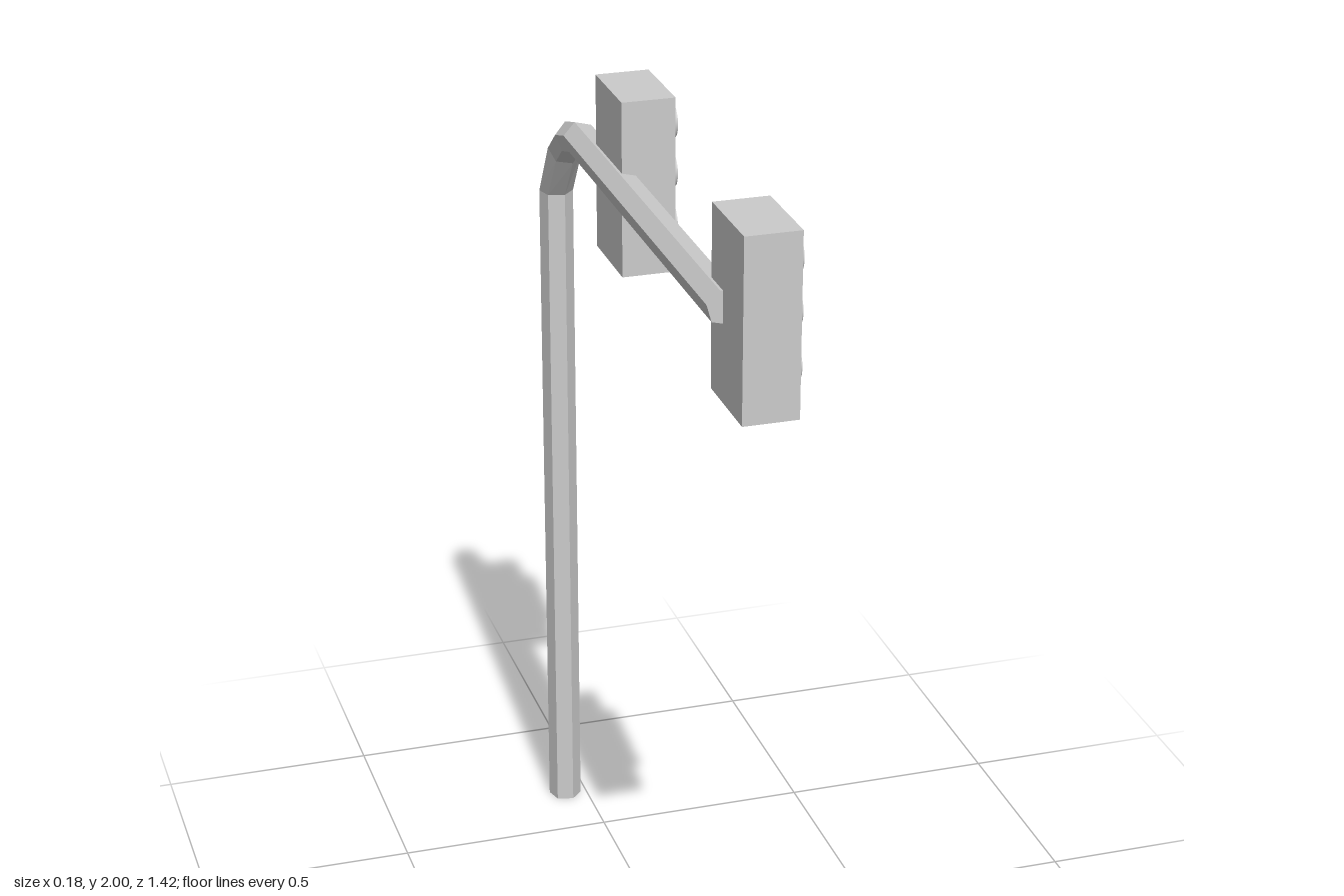
import * as THREE from 'three';

const SIDES = 6;
const POLE_X = -0.052;
const RADIUS = 0.039;

// Six-sided bent pole: rings given as [z, y, tilt in degrees], lofted in order
function poleGeometry() {
  const rings = [
    [-0.673, 0, 0], [-0.673, 1.61, 0], [-0.592, 1.735, 40],
    [-0.53, 1.785, 64], [-0.46, 1.806, 80], [-0.1, 1.806, 90], [0.588, 1.806, 90],
  ];
  const positions = [];
  const index = [];
  for (const [z, y, tilt] of rings) {
    const t = THREE.MathUtils.degToRad(tilt);
    for (let j = 0; j < SIDES; j++) {
      const a = THREE.MathUtils.degToRad(44 + j * 360 / SIDES);
      const out = RADIUS * Math.cos(a);
      positions.push(POLE_X + RADIUS * Math.sin(a), y + out * Math.sin(t), z - out * Math.cos(t));
    }
  }
  for (let i = 0; i < rings.length - 1; i++) {
    for (let j = 0; j < SIDES; j++) {
      const a = i * SIDES + j;
      const b = i * SIDES + (j + 1) % SIDES;
      index.push(a, a + SIDES, b, b, a + SIDES, b + SIDES);
    }
  }
  // End caps
  const last = (rings.length - 1) * SIDES;
  for (let j = 1; j < SIDES - 1; j++) {
    index.push(0, j, j + 1, last, last + j + 1, last + j);
  }
  const geometry = new THREE.BufferGeometry();
  geometry.setAttribute('position', new THREE.Float32BufferAttribute(positions, 3));
  geometry.setIndex(index);
  const flat = geometry.toNonIndexed();
  flat.computeVertexNormals();
  return flat;
}

export function createModel() {
  const model = new THREE.Group();
  model.name = 'trafficLight';
  const flat = new THREE.MeshStandardMaterial({ color: 0xcccccc, flatShading: true });
  const smooth = new THREE.MeshStandardMaterial({ color: 0xcccccc });

  const pole = new THREE.Mesh(poleGeometry(), flat);
  pole.name = 'pole';
  model.add(pole);

  // Two signal heads hung on the arm, lamps facing +x
  const housingGeometry = new THREE.BoxGeometry(0.12, 0.396, 0.2);
  const lampGeometry = new THREE.CylinderGeometry(0.04, 0.04, 0.04, 32).rotateZ(-Math.PI / 2);
  for (const [name, z] of [['outerSignal', 0.614], ['innerSignal', -0.215]]) {
    const signal = new THREE.Group();
    signal.name = name;
    signal.position.z = z;
    const housing = new THREE.Mesh(housingGeometry, flat);
    housing.name = 'housing';
    housing.position.set(0.004, 1.802, 0);
    signal.add(housing);
    [['topLamp', 1.916], ['middleLamp', 1.804], ['bottomLamp', 1.686]].forEach(([lampName, y]) => {
      const lamp = new THREE.Mesh(lampGeometry, smooth);
      lamp.name = lampName;
      lamp.position.set(0.069, y, -0.002);
      signal.add(lamp);
    });
    model.add(signal);
  }
  return model;
}
